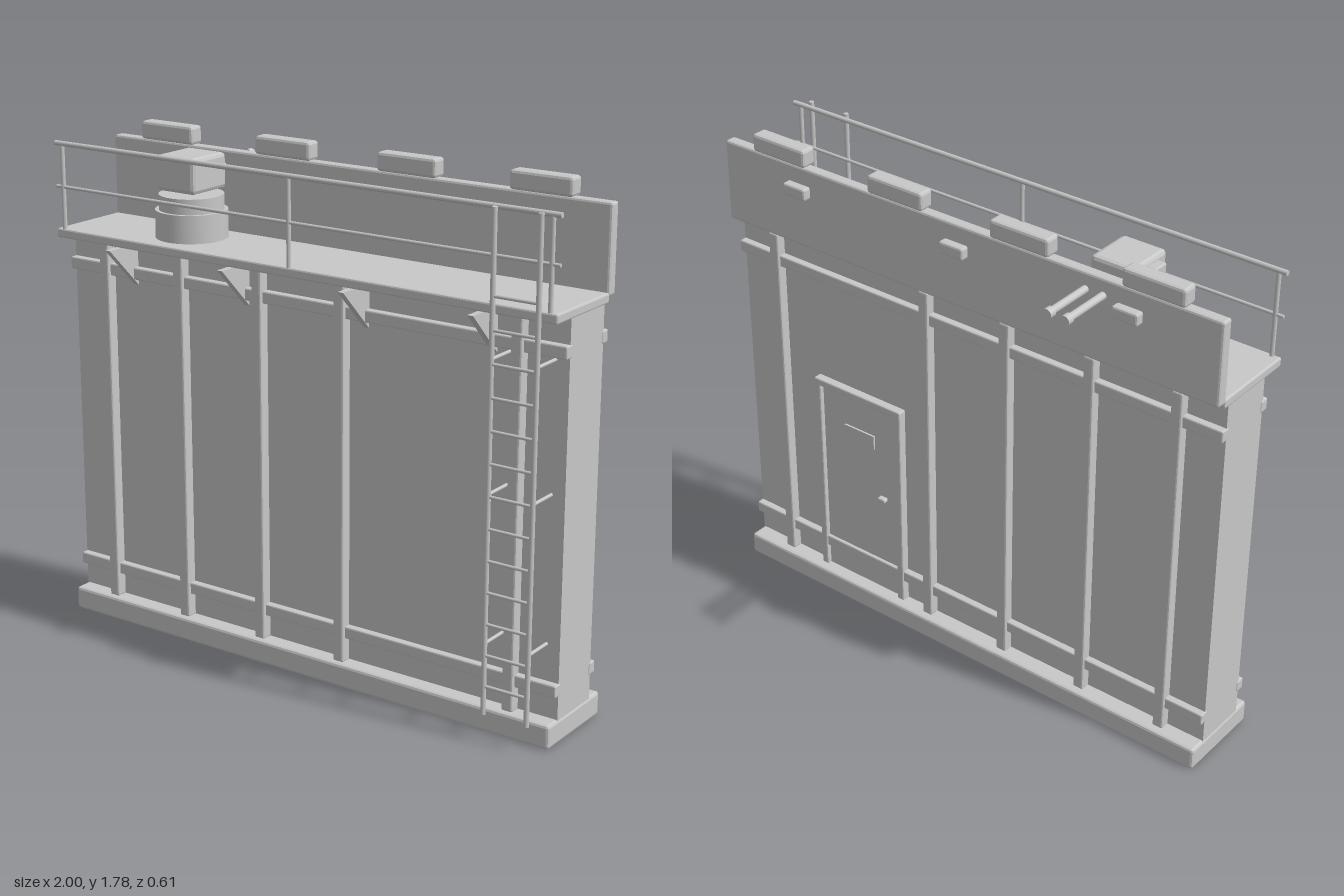
import * as THREE from 'three';
import { RoundedBoxGeometry } from 'three/addons/geometries/RoundedBoxGeometry.js';

export function createModel() {
  const root = new THREE.Group();
  const grey = new THREE.MeshStandardMaterial({ color: 0xc8c8c8 });
  grey.name = 'light grey';

  const add = (name, geometry) => {
    const mesh = new THREE.Mesh(geometry, grey);
    mesh.name = name;
    root.add(mesh);
    return mesh;
  };
  // Box from its min and max corners, with an optional bevel
  const box = (name, x0, x1, y0, y1, z0, z1, bevel = 0) => {
    const s = [x1 - x0, y1 - y0, z1 - z0];
    const g = bevel ? new RoundedBoxGeometry(...s, 1, bevel) : new THREE.BoxGeometry(...s);
    if (bevel) g.computeVertexNormals();
    const mesh = add(name, g);
    mesh.position.set((x0 + x1) / 2, (y0 + y1) / 2, (z0 + z1) / 2);
    return mesh;
  };
  // Round bar between two points
  const bar = (name, a, b, r, sides = 10) => {
    const p = new THREE.Vector3(...a), q = new THREE.Vector3(...b);
    const d = q.clone().sub(p);
    const mesh = add(name, new THREE.CylinderGeometry(r, r, d.length(), sides));
    mesh.position.copy(p).add(q).multiplyScalar(0.5);
    mesh.quaternion.setFromUnitVectors(new THREE.Vector3(0, 1, 0), d.normalize());
    return mesh;
  };

  // Wall body
  box('base', -1, 1, 0, 0.083, -0.11, 0.22, 0.01);
  box('wall', -0.997, 0.997, 0.08, 1.408, -0.045, 0.16);
  for (const x of [-0.835, -0.505, -0.17, 0.165, 0.83]) {
    box('frontPost', x - 0.02, x + 0.02, 0.08, 1.408, 0.15, 0.198, 0.006);
    box('backPost', x - 0.02, x + 0.02, 0.08, 1.408, -0.08, -0.035, 0.006);
  }
  for (const y of [0.166, 1.281]) {
    box('frontRail', -1, 1, y, y + 0.043, 0.15, 0.185, 0.005);
    box('backRail', -1, 1, y, y + 0.043, -0.07, -0.035, 0.005);
  }

  // Walkway and parapet
  box('walkway', -1, 1, 1.405, 1.438, -0.07, 0.25, 0.006);
  box('parapet', -1, 1, 1.425, 1.72, -0.107, -0.065, 0.008);
  for (const x of [-0.752, -0.25, 0.25, 0.752])
    box('parapetCap', x - 0.114, x + 0.114, 1.72, 1.784, -0.113, -0.055, 0.01);
  for (const x of [-0.668, 0, 0.668])
    box('parapetLug', x - 0.048, x + 0.048, 1.615, 1.658, -0.137, -0.1, 0.007);

  // Triangular brackets under the walkway
  const tri = new THREE.Shape();
  tri.moveTo(-0.305, 1.405);
  tri.lineTo(-0.155, 1.405);
  tri.lineTo(-0.155, 1.253);
  tri.closePath();
  for (const x of [-0.72, -0.235, 0.25, 0.73]) {
    const g = new THREE.ExtrudeGeometry(tri, { depth: 0.022, bevelEnabled: false });
    g.rotateY(Math.PI / 2);
    add('bracket', g).position.x = x - 0.011;
  }

  // Handrail
  for (const x of [-0.97, 0, 0.97]) bar('handrailPost', [x, 1.435, 0.24], [x, 1.736, 0.24], 0.008);
  bar('handrailTop', [-1, 1.736, 0.24], [1, 1.736, 0.24], 0.009);
  bar('handrailMiddle', [-1, 1.585, 0.24], [1, 1.585, 0.24], 0.006);

  // Ladder
  const ladderX = [0.788, 0.948];
  for (const x of ladderX) {
    bar('ladderStile', [x, 0.09, 0.272], [x, 1.742, 0.272], 0.009);
    for (const y of [0.335, 0.835, 1.27]) bar('ladderStandoff', [x, y, 0.155], [x, y, 0.272], 0.006);
  }
  for (let i = 0; i < 13; i++) {
    const y = 0.188 + i * 0.1067;
    bar('ladderRung', [ladderX[0], y, 0.272], [ladderX[1], y, 0.272], 0.006, 8);
  }

  // Turret
  const tx = -0.536, tz = 0.075;
  bar('turretBase', [tx, 1.435, tz], [tx, 1.535, tz], 0.125, 40);
  bar('turretRing', [tx, 1.53, tz], [tx, 1.588, tz], 0.112, 40);
  box('turretHead', -0.618, -0.453, 1.602, 1.725, -0.015, 0.164, 0.014);
  box('turretSight', -0.65, -0.61, 1.662, 1.708, 0.055, 0.115, 0.005);
  bar('sightLens', [-0.661, 1.685, 0.06], [-0.643, 1.685, 0.06], 0.01);
  for (const x of [-0.57, -0.504]) {
    bar('barrel', [x, 1.663, 0], [x, 1.663, -0.3], 0.013, 16);
    bar('muzzle', [x, 1.663, -0.28], [x, 1.663, -0.305], 0.018, 16);
  }

  // Back door
  box('door', 0.295, 0.655, 0.083, 0.865, -0.058, -0.04);
  box('doorJamb', 0.28, 0.308, 0.08, 0.888, -0.075, -0.04, 0.005);
  box('doorJamb', 0.645, 0.673, 0.08, 0.888, -0.075, -0.04, 0.005);
  box('doorLintel', 0.28, 0.673, 0.86, 0.888, -0.075, -0.04, 0.005);
  box('doorPlate', 0.41, 0.545, 0.68, 0.735, -0.065, -0.056);
  box('doorHandle', 0.358, 0.392, 0.475, 0.492, -0.077, -0.05, 0.006);

  return root;
}
